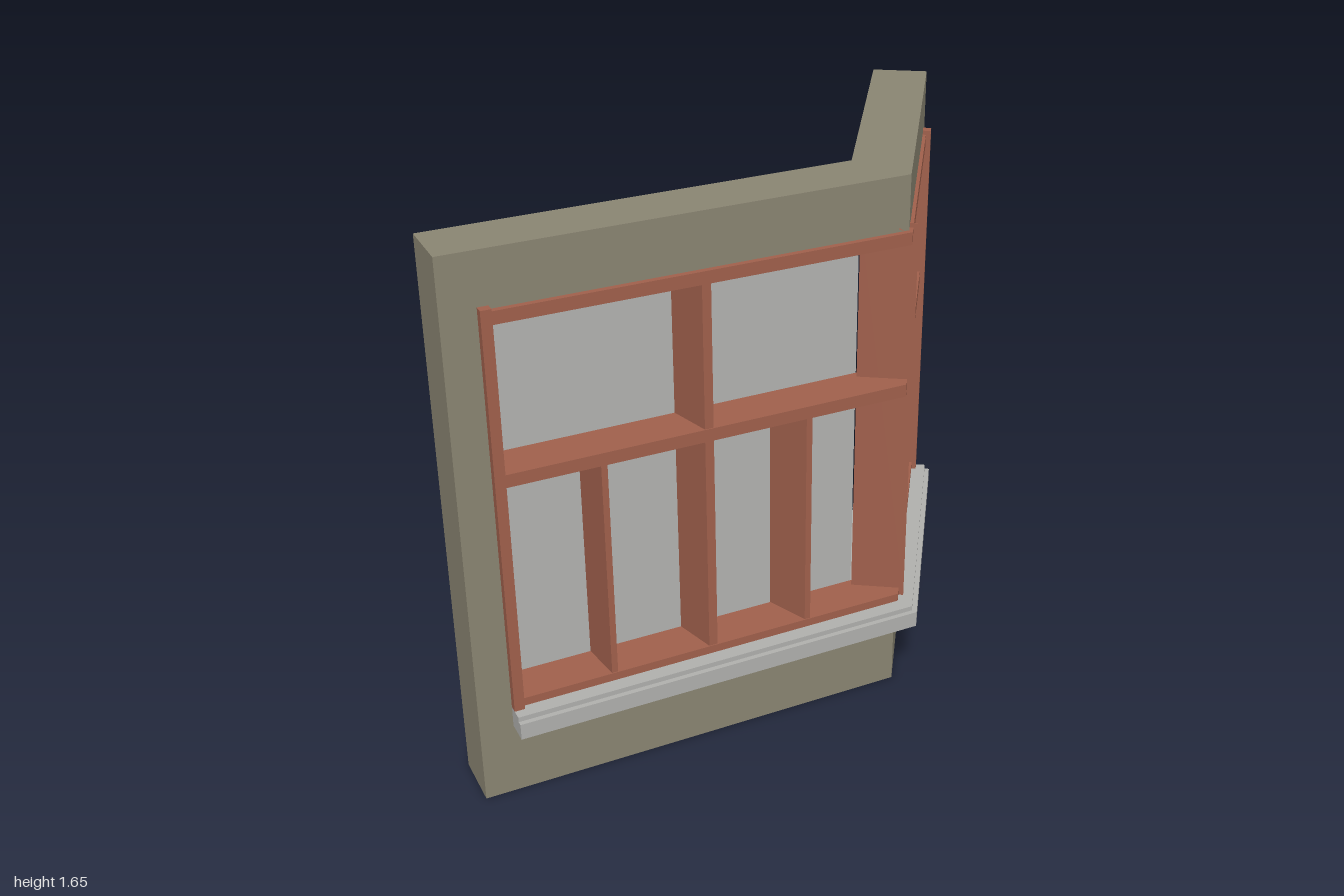
import * as THREE from 'three';

const V = (x, z) => new THREE.Vector2(x, z);
const mat = (name, color) => new THREE.MeshStandardMaterial({ name, color });

export function createModel() {
  const model = new THREE.Group();
  model.name = 'cornerWindow';
  const stone = mat('wall stone', 0x8a8572);
  const timber = mat('window timber', 0xa0604c);
  const glass = mat('glass', 0xb2b2b0);
  const sillGrey = mat('sill grey', 0xb0b0ad);

  // Plan of the outer wall face: two legs meeting at a corner (x, z)
  const corner = V(0.22, 0.30);
  const legs = [V(-1, -0.19), V(1, -0.25)].map((end, i) => {
    const out = end.clone().sub(corner);
    const length = out.length();
    const dir = out.normalize();
    const normal = i ? V(-dir.y, dir.x) : V(dir.y, -dir.x);
    return { length, dir, normal };
  });
  const [L, R] = legs;
  L.open = L.length - 0.097;   // where the opening stops on each leg
  R.open = R.length - 0.104;

  // Mitred corner point, and a point along a leg, at an offset from the outer face
  const bisector = L.normal.clone().add(R.normal).normalize();
  const miter = bisector.dot(L.normal);
  const cornerAt = (o) => corner.clone().addScaledVector(bisector, o / miter);
  const at = (leg, s, o) =>
    corner.clone().addScaledVector(leg.dir, s).addScaledVector(leg.normal, o);
  // Fraction t from the corner (0) to the end of the opening (1)
  const along = (leg, t, o) => cornerAt(o).lerp(at(leg, leg.open, o), t);

  // Upright prism over a plan polygon
  function prism(name, material, points, y0, y1) {
    const shape = new THREE.Shape(points.map((p) => V(p.x, -p.y)));
    const geo = new THREE.ExtrudeGeometry(shape, { depth: y1 - y0, bevelEnabled: false });
    geo.rotateX(-Math.PI / 2).translate(0, y0, 0);
    const mesh = new THREE.Mesh(geo, material);
    mesh.name = name;
    model.add(mesh);
  }

  // Band that runs round the corner
  const band = (name, material, sL, sR, o0, o1, y0, y1) =>
    prism(name, material, [
      at(L, sL, o1), cornerAt(o1), at(R, sR, o1),
      at(R, sR, o0), cornerAt(o0), at(L, sL, o0),
    ], y0, y1);

  // Straight piece on one leg
  const block = (name, material, leg, s0, s1, o0, o1, y0, y1) =>
    prism(name, material,
      [at(leg, s0, o1), at(leg, s1, o1), at(leg, s1, o0), at(leg, s0, o0)], y0, y1);

  // Wall below and above the opening, and the end piers
  const back = -0.168;
  band('lowerWall', stone, L.length, R.length, back, 0, 0, 0.225);
  band('header', stone, L.length, R.length, back, 0, 1.49, 1.65);
  legs.forEach((leg, i) =>
    block(i ? 'leftPier' : 'rightPier', stone, leg, leg.open, leg.length, back, 0, 0.225, 1.49));

  // Stepped sill
  band('sill', sillGrey, L.open, R.open, -0.17, 0.07, 0.225, 0.275);
  band('sillTop', sillGrey, L.open, R.open, -0.17, 0.055, 0.275, 0.29);

  // Rails
  const glassAt = -0.12, front = 0.01;
  for (const [name, y0, y1] of [
    ['bottomRail', 0.29, 0.315], ['middleRail', 0.987, 1.025], ['topRail', 1.45, 1.487],
  ]) band(name, timber, L.open - 0.01, R.open - 0.01, glassAt, front, y0, y1);

  // Corner post and end jambs
  band('cornerPost', timber, 0.028, 0.028, -0.135, 0.025, 0.29, 1.5);
  legs.forEach((leg, i) =>
    block(i ? 'leftJamb' : 'rightJamb', timber, leg, leg.open - 0.03, leg.open,
      -0.135, 0.025, 0.29, 1.5));

  // Mullions, fanning from the corner mitre to the square ends
  function mullion(name, leg, t, width, y0, y1) {
    const a = along(leg, t, front - 0.003), b = along(leg, t, glassAt);
    const side = leg.dir.clone().multiplyScalar(width / 2);
    prism(name, timber, [a.clone().add(side), a.clone().sub(side),
      b.clone().sub(side), b.clone().add(side)], y0, y1);
  }
  mullion('mainMullion', L, 0.5, 0.026, 0.3, 1.46);
  mullion('lowerMullion', L, 0.25, 0.018, 0.3, 1);
  mullion('lowerMullion', L, 0.75, 0.018, 0.3, 1);
  mullion('lowerMullion', R, 0.5, 0.018, 0.3, 1);

  // Glass panes behind the frame
  for (const [leg, t0, t1] of [[L, 0.02, 0.493], [L, 0.507, 0.98], [R, 0.02, 0.98]]) {
    for (const [y0, y1] of [[0.3, 0.998], [1.014, 1.482]]) {
      prism('glassPane', glass, [along(leg, t0, glassAt), along(leg, t1, glassAt),
        along(leg, t1, glassAt - 0.006), along(leg, t0, glassAt - 0.006)], y0, y1);
    }
  }
  return model;
}
